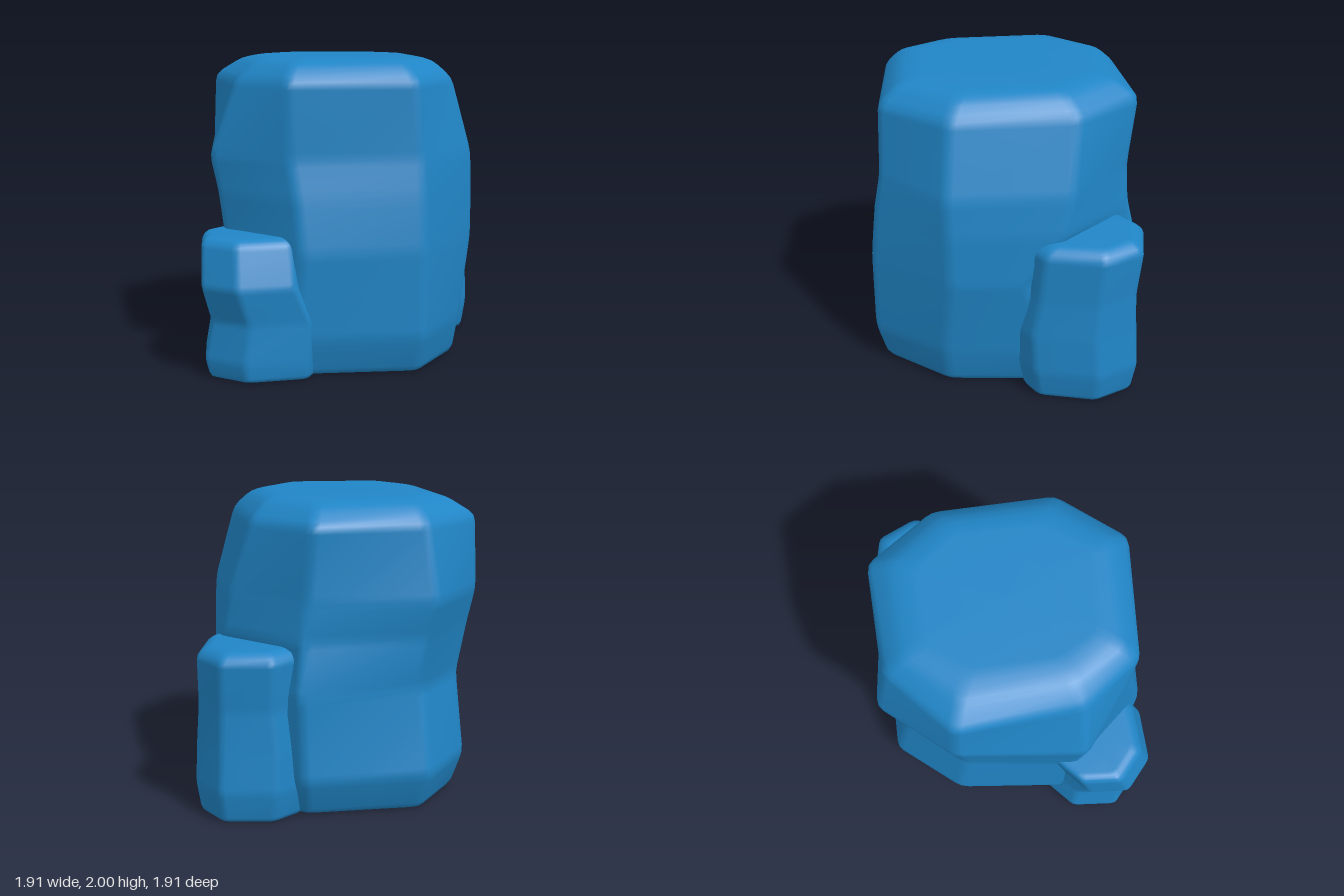
import * as THREE from 'three';

const rockBlue = new THREE.MeshStandardMaterial({ color: 0x2085c6 });
rockBlue.name = 'rockBlue';

// Replace each corner of a polyline with a short rounded bevel.
function roundCorners(pts, radius, closed) {
  const out = [], n = pts.length;
  pts.forEach((p, i) => {
    if (!closed && (i === 0 || i === n - 1)) { out.push(p.clone()); return; }
    const toward = (q) => p.clone().lerp(q, Math.min(0.4, radius / Math.max(p.distanceTo(q), 1e-4)));
    const a = toward(pts[(i + n - 1) % n]), b = toward(pts[(i + 1) % n]);
    const mid = a.clone().add(b).multiplyScalar(0.25).addScaledVector(p, 0.5);
    out.push(a, mid, b);
  });
  return out;
}

// Loft a boulder through octagonal levels: [y, [x, z, x, z, ...]], counterclockwise from above.
function boulder(name, levels, bevel) {
  const rings = levels.map(([y, xz]) =>
    Array.from({ length: 8 }, (_, i) => new THREE.Vector3(xz[2 * i], y, xz[2 * i + 1])));
  const centreOf = (ring) => ring.reduce((s, p) => s.add(p), new THREE.Vector3()).divideScalar(8);
  const inset = (ring, k) => { const c = centreOf(ring); return ring.map((p) => c.clone().lerp(p, k)); };
  rings.unshift(inset(rings[0], 0.5));
  rings.push(inset(rings[rings.length - 1], 0.5));

  // Bevel up each column first, then around each resulting ring
  const columns = rings[0].map((_, i) => roundCorners(rings.map((r) => r[i]), bevel, false));
  const loops = columns[0].map((_, j) => roundCorners(columns.map((c) => c[j]), bevel, true));
  const n = loops[0].length, m = loops.length;
  const verts = loops.flat();
  const index = [];
  for (let j = 0; j < m - 1; j++) {
    for (let i = 0; i < n; i++) {
      const a = j * n + i, b = j * n + (i + 1) % n;
      index.push(a, b, b + n, a, b + n, a + n);
    }
  }
  // Flat caps
  verts.push(centreOf(rings[0]), centreOf(rings[rings.length - 1]));
  const top = (m - 1) * n;
  for (let i = 0; i < n; i++) {
    const k = (i + 1) % n;
    index.push(k, i, m * n, top + i, top + k, m * n + 1);
  }
  const geo = new THREE.BufferGeometry().setFromPoints(verts);
  geo.setIndex(index);
  geo.computeVertexNormals();
  const mesh = new THREE.Mesh(geo, rockBlue);
  mesh.name = name;
  return mesh;
}

// Levels made from one outline, each scaled and shifted: [y, scale, dx, dz]
function scaledLevels(outline, cx, cz, steps) {
  return steps.map(([y, s, dx, dz]) => [y, outline.map((v, i) =>
    i % 2 ? cz + dz + (v - cz) * s : cx + dx + (v - cx) * s)]);
}

export function createModel() {
  const group = new THREE.Group();
  group.name = 'rockCluster';

  // Tall central boulder
  group.add(boulder('mainBoulder', [
    [0, [0.41, 0.75, 0.71, 0.3, 0.70, -0.36, 0.26, -0.82, -0.48, -0.77, -0.76, -0.34, -0.76, 0.38, -0.38, 0.77]],
    [0.25, [0.45, 0.82, 0.75, 0.32, 0.77, -0.38, 0.28, -0.93, -0.54, -0.85, -0.84, -0.38, -0.83, 0.45, -0.38, 0.84]],
    [0.8, [0.45, 0.82, 0.83, 0.28, 0.81, -0.21, 0.3, -0.97, -0.49, -0.74, -0.79, -0.33, -0.81, 0.43, -0.33, 0.88]],
    [1.14, [0.44, 0.79, 0.83, 0.29, 0.78, -0.45, 0.27, -0.88, -0.53, -0.81, -0.85, -0.35, -0.85, 0.45, -0.36, 0.82]],
    [1.38, [0.43, 0.75, 0.82, 0.3, 0.73, -0.5, 0.25, -0.86, -0.57, -0.88, -0.9, -0.37, -0.9, 0.47, -0.4, 0.76]],
    [1.86, [0.40, 0.74, 0.69, 0.28, 0.58, -0.52, 0.22, -0.92, -0.5, -0.79, -0.89, -0.36, -0.73, 0.43, -0.42, 0.78]],
    [1.97, [0.33, 0.63, 0.57, 0.24, 0.49, -0.43, 0.19, -0.76, -0.45, -0.68, -0.71, -0.32, -0.61, 0.37, -0.38, 0.67]],
    [2, [0.26, 0.52, 0.45, 0.2, 0.4, -0.36, 0.16, -0.61, -0.38, -0.56, -0.56, -0.27, -0.5, 0.29, -0.32, 0.54]],
  ], 0.05));

  // Low boulder at the front
  const low = [-0.3, 0.9, -0.2, 0.68, -0.25, 0.42, -0.4, 0.2, -0.75, 0.24, -0.96, 0.48, -0.95, 0.79, -0.7, 0.96];
  group.add(boulder('frontBoulder', scaledLevels(low, -0.6, 0.57, [
    [0, 0.94, 0.02, -0.03], [0.12, 1, 0.01, -0.04], [0.37, 0.96, 0.04, -0.03],
    [0.6, 0.89, -0.04, 0.04], [0.86, 0.86, -0.05, -0.03], [0.9, 0.76, -0.05, -0.05],
  ]), 0.03));

  // Medium boulder at the back
  const medium = [0.75, -0.16, 0.9, -0.27, 0.96, -0.68, 0.8, -0.94, 0.45, -0.97, 0.25, -0.8, 0.25, -0.4, 0.4, -0.2];
  group.add(boulder('backBoulder', scaledLevels(medium, 0.6, -0.57, [
    [0, 0.91, 0, 0], [0.2, 1, 0, 0], [0.45, 1, -0.01, 0.02],
    [0.72, 0.92, 0, 0], [1.04, 0.93, 0, -0.03], [1.1, 0.74, 0, -0.03],
  ]), 0.035));

  return group;
}
